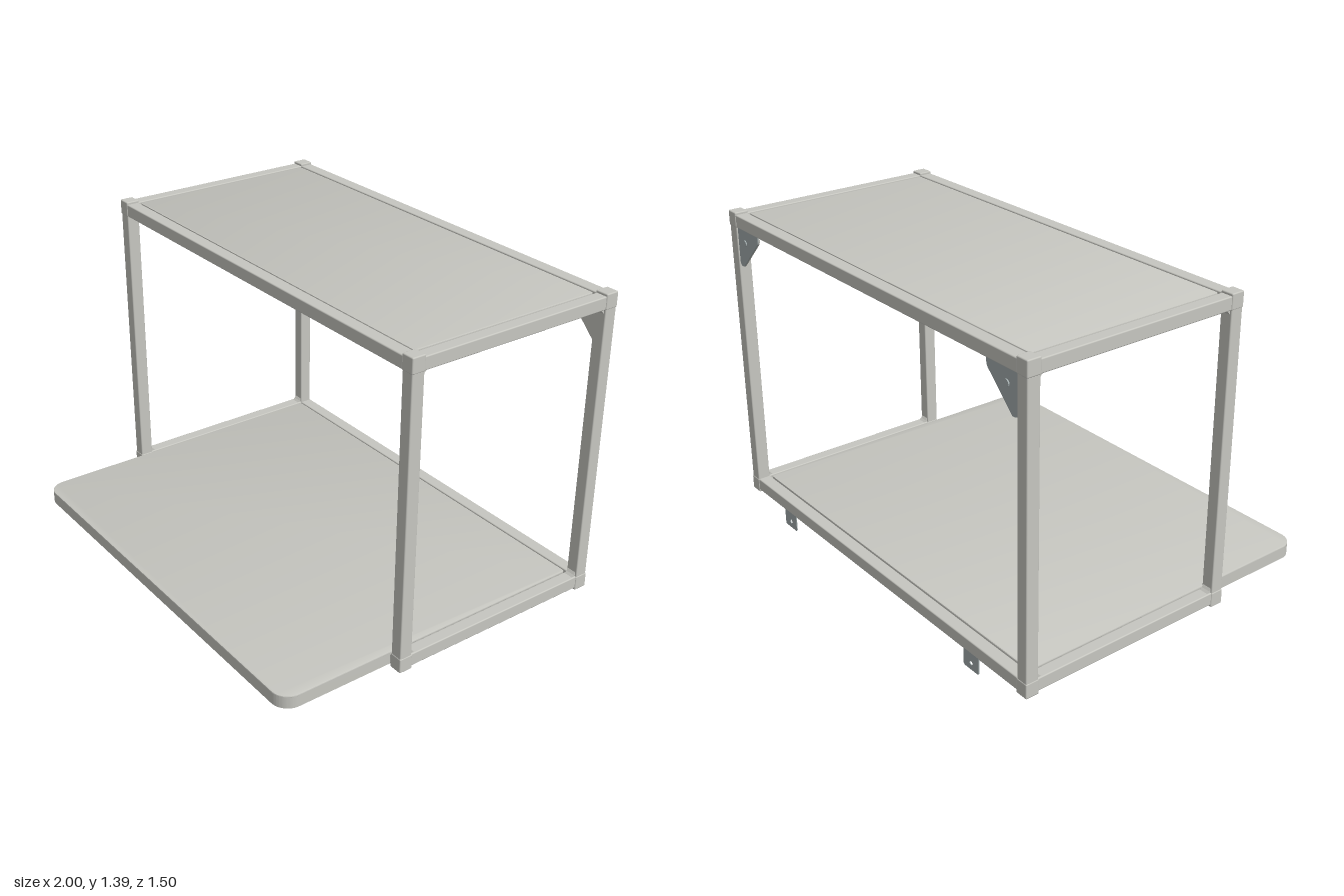
import * as THREE from 'three';
import { toCreasedNormals } from 'three/addons/utils/BufferGeometryUtils.js';
import { RoundedBoxGeometry } from 'three/addons/geometries/RoundedBoxGeometry.js';

const paint = new THREE.MeshStandardMaterial({ color: 0xc6c6c0 });
paint.name = 'paintedGrey';
const steel = new THREE.MeshStandardMaterial({ color: 0xa3adae });
steel.name = 'steel';

export function createModel() {
  const model = new THREE.Group();
  model.name = 'shelfFrame';

  const add = (name, geometry, material = paint) => {
    const mesh = new THREE.Mesh(geometry, material);
    mesh.name = name;
    model.add(mesh);
    return mesh;
  };

  // Softened box given by its lower and upper limits
  const bar = (name, x0, x1, y0, y1, z0, z1, material = paint) => {
    const w = x1 - x0, h = y1 - y0, d = z1 - z0;
    const r = Math.min(0.005, Math.min(w, h, d) * 0.3);
    add(name, new RoundedBoxGeometry(w, h, d, 2, r), material)
      .position.set((x0 + x1) / 2, (y0 + y1) / 2, (z0 + z1) / 2);
  };

  // Rounded plan outline; rBack and rFront are the corner radii
  const outline = (x, zBack, zFront, rBack, rFront) => {
    const s = new THREE.Shape();
    s.moveTo(-x + rFront, -zFront);
    s.lineTo(x - rFront, -zFront);
    s.absarc(x - rFront, -zFront + rFront, rFront, -Math.PI / 2, 0);
    s.lineTo(x, -zBack - rBack);
    s.absarc(x - rBack, -zBack - rBack, rBack, 0, Math.PI / 2);
    s.lineTo(-x + rBack, -zBack);
    s.absarc(-x + rBack, -zBack - rBack, rBack, Math.PI / 2, Math.PI);
    s.lineTo(-x, -zFront + rFront);
    s.absarc(-x + rFront, -zFront + rFront, rFront, Math.PI, Math.PI * 1.5);
    return s;
  };

  // Folded sheet tray: thin top with a rim hanging below
  const tray = (name, x, zBack, zFront, rBack, rFront, y0, y1) => {
    const t = 0.01, b = 0.003;
    const top = new THREE.ExtrudeGeometry(outline(x, zBack, zFront, rBack, rFront), {
      depth: t - 2 * b, bevelThickness: b, bevelSize: b, bevelOffset: -b, bevelSegments: 2, curveSegments: 10,
    });
    top.rotateX(-Math.PI / 2).translate(0, y1 - t + b, 0);
    add(name + 'Top', toCreasedNormals(top, 0.6));
    const ring = outline(x, zBack, zFront, rBack, rFront);
    ring.holes.push(outline(x - t, zBack + t, zFront - t, Math.max(rBack - t, 0.002), Math.max(rFront - t, 0.002)));
    const rim = new THREE.ExtrudeGeometry(ring, { depth: y1 - y0 - t / 2, bevelEnabled: false, curveSegments: 10 });
    rim.rotateX(-Math.PI / 2).translate(0, y0, 0);
    add(name + 'Rim', toCreasedNormals(rim, 0.6));
  };

  tray('lowerShelf', 0.938, -0.686, 0.75, 0.012, 0.075, 0.07, 0.126);
  tray('upperPanel', 0.936, -0.686, 0.186, 0.012, 0.012, 1.345, 1.378);

  // Cross rails, front and back
  for (const [name, y0, y1] of [['lower', 0.07, 0.126], ['upper', 1.325, 1.38]]) {
    bar(name + 'BackRail', -0.945, 0.945, y0, y1, -0.748, -0.692);
    bar(name + 'FrontRail', -0.945, 0.945, y0, name === 'lower' ? 0.116 : y1, 0.192, 0.248);
  }

  // Small wedge in the side frame's corners
  const wedge = new THREE.Shape([[0, 0], [0.018, 0], [0.008, 0.008], [0, 0.018]].map(p => new THREE.Vector2(...p)));
  const wedgeGeometry = new THREE.ExtrudeGeometry(wedge, { depth: 0.04, bevelEnabled: false });
  wedgeGeometry.translate(0, 0, -0.02);

  // Triangular brace with clipped, rounded tips and a bolt hole
  const braceGeometry = depth => {
    const s = new THREE.Shape();
    s.moveTo(0, 0);
    s.lineTo(0, -0.155);
    s.quadraticCurveTo(0.002, -0.17, 0.028, -0.168);
    s.lineTo(0.162, -0.036);
    s.quadraticCurveTo(0.17, -0.025, 0.168, 0);
    return new THREE.ExtrudeGeometry(s, { depth, bevelEnabled: false });
  };

  for (const side of [-1, 1]) {
    const span = (a, b) => (side > 0 ? [a, b] : [-b, -a]);

    // Corner posts with end caps
    for (const [name, z] of [['front', 0.22], ['back', -0.72]]) {
      bar(name + 'Post', ...span(0.944, 0.998), 0.065, 1.385, z - 0.028, z + 0.028);
      for (const y of [0.06, 1.325])
        bar(name + 'PostCap', ...span(0.942, 1), y, y + 0.065, z - 0.03, z + 0.03);
    }

    // Side rails
    bar('lowerSideRail', ...span(0.944, 0.997), 0.07, 0.126, -0.695, 0.195);
    bar('upperSideRail', ...span(0.944, 0.997), 1.325, 1.38, -0.695, 0.195);
    for (const y of [0.126, 1.325]) {
      for (const z of [-0.692, 0.192]) {
        const m = add('cornerWedge', wedgeGeometry);
        const low = y < 1, back = z < 0;
        // Turn the wedge into the plane of the side frame
        m.rotation.set(low ? 0 : Math.PI, (back ? -1 : 1) * Math.PI / 2, 0, 'YXZ');
        m.position.set(side * 0.97, y, z);
      }
    }

    // Rear corner brace: painted plate with a steel backing and bolt
    const brace = new THREE.Group();
    brace.name = 'rearBrace';
    for (const [name, depth, z, material] of [['bracePlate', 0.005, -0.738, paint], ['braceBacking', 0.005, -0.743, steel]]) {
      const g = braceGeometry(depth);
      g.rotateY(Math.PI).translate(0.942, 1.327, z + depth);
      const m = new THREE.Mesh(g, material);
      m.name = name;
      brace.add(m);
    }
    const bolt = new THREE.Mesh(new THREE.CylinderGeometry(0.014, 0.014, 0.006, 16), steel);
    bolt.name = 'braceBolt';
    bolt.rotation.x = Math.PI / 2;
    bolt.position.set(0.885, 1.27, -0.745);
    brace.add(bolt);
    if (side < 0) brace.rotation.y = 0;
    model.add(brace);
    if (side < 0) {
      // Mirror the brace by reflecting positions and reversing the corners
      brace.children.forEach(m => {
        m.updateMatrix();
        m.geometry.applyMatrix4(m.matrix);
        m.position.set(0, 0, 0);
        m.rotation.set(0, 0, 0);
        const g = m.geometry.index ? m.geometry.toNonIndexed() : m.geometry;
        g.scale(-1, 1, 1);
        for (const a of Object.values(g.attributes))
          for (let i = 0; i < a.count; i += 3)
            for (let k = 0; k < a.itemSize; k++) {
              const p = (i + 1) * a.itemSize + k, q = (i + 2) * a.itemSize + k;
              [a.array[p], a.array[q]] = [a.array[q], a.array[p]];
            }
        g.computeVertexNormals();
        m.geometry = g;
      });
    }

    // Wall fixing tab with a screw hole
    const tab = new THREE.Shape();
    tab.moveTo(-0.047, 0.075);
    tab.lineTo(-0.047, 0.01);
    tab.quadraticCurveTo(-0.047, 0, -0.037, 0);
    tab.lineTo(0.037, 0);
    tab.quadraticCurveTo(0.047, 0, 0.047, 0.01);
    tab.lineTo(0.047, 0.075);
    const hole = new THREE.Path();
    hole.absarc(0, 0.03, 0.009, 0, Math.PI * 2, true);
    tab.holes.push(hole);
    add('wallTab', new THREE.ExtrudeGeometry(tab, { depth: 0.004, bevelEnabled: false }), steel)
      .position.set(side * 0.667, 0, -0.748);
  }

  // Clips holding the upper panel to the front rail
  for (const x of [-0.62, 0, 0.62]) bar('panelClip', x - 0.018, x + 0.018, 1.328, 1.35, 0.165, 0.193, steel);

  return model;
}
